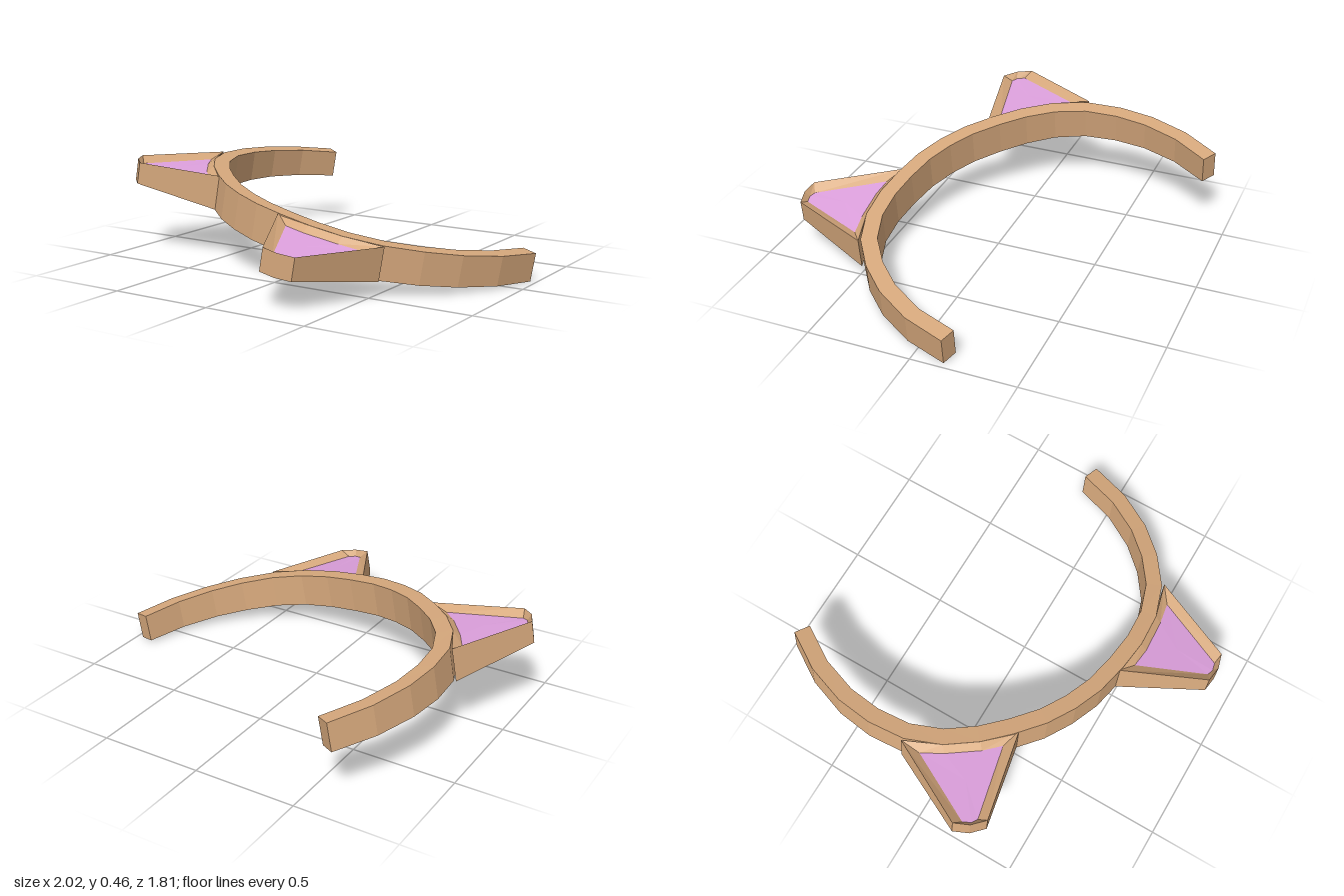
import * as THREE from 'three';

const tan = new THREE.MeshStandardMaterial({ color: 0xd6a87c, flatShading: true });
const pink = new THREE.MeshStandardMaterial({ color: 0xdda0dd, flatShading: true });

// The headband lies tilted: local x spans the arms, y is its width, z points to the crown
const tilt = new THREE.Matrix4().makeBasis(
  new THREE.Vector3(0.904, -0.144, 0.428),
  new THREE.Vector3(0.166, 0.986, -0.018),
  new THREE.Vector3(-0.428, 0.088, 0.904)
).multiply(new THREE.Matrix4().makeTranslation(-0.06, 0, 0));
tilt.premultiply(new THREE.Matrix4().makeTranslation(0, 0.2375, 0));

function finish(name, positions, material) {
  const geo = new THREE.BufferGeometry();
  geo.setAttribute('position', new THREE.Float32BufferAttribute(positions.flat(), 3));
  geo.applyMatrix4(tilt);
  geo.computeVertexNormals();
  const mesh = new THREE.Mesh(geo, material);
  mesh.name = name;
  return mesh;
}

// Walls between successive rings of equal length
function walls(rings) {
  const out = [];
  for (let r = 0; r + 1 < rings.length; r++) {
    const a = rings[r], b = rings[r + 1], n = a.length;
    for (let i = 0; i < n; i++) {
      const j = (i + 1) % n;
      out.push(a[i], a[j], b[j], a[i], b[j], b[i]);
    }
  }
  return out;
}

// Fan around the centre of a ring
function cap(ring, flip = false) {
  const c = [0, 1, 2].map(k => ring.reduce((sum, p) => sum + p[k], 0) / ring.length);
  return ring.flatMap((p, i) => {
    const q = ring[(i + 1) % ring.length];
    return flip ? [c, q, p] : [c, p, q];
  });
}

// Inner edge of half the band from crown to arm end: x, z, width
const half = [
  [0, 0.42, 0.175], [0.14, 0.41, 0.175], [0.29, 0.372, 0.173], [0.43, 0.323, 0.17],
  [0.565, 0.25, 0.165], [0.68, 0.142, 0.16], [0.76, 0, 0.155], [0.81, -0.153, 0.148],
  [0.83, -0.34, 0.142], [0.806, -0.545, 0.136]
];

function makeBand() {
  const thick = 0.078;
  const path = [...half.slice(1).reverse().map(([x, z, w]) => [-x, z, w]), ...half];
  const rings = path.map(([x, z, w], i) => {
    const p = path[Math.max(i - 1, 0)], q = path[Math.min(i + 1, path.length - 1)];
    const dx = q[0] - p[0], dz = q[1] - p[1], len = Math.hypot(dx, dz);
    const ox = x - dz / len * thick, oz = z + dx / len * thick, h = w / 2;
    return [[ox, -h, oz], [x, -h, z], [x, h, z], [ox, h, oz]];
  });
  return finish('band', [...walls(rings), ...cap(rings[0], true), ...cap(rings.at(-1))], tan);
}

// Ear outline: rim x, z, half height, then matching floor x, z
const earOutline = [
  [0.283, 0.448, 0.086, 0.377, 0.459], [0.46, 0.395, 0.084, 0.471, 0.425],
  [0.61, 0.313, 0.082, 0.62, 0.343], [0.755, 0.191, 0.08, 0.712, 0.278],
  [0.767, 0.639, 0.054, 0.722, 0.65], [0.707, 0.69, 0.054, 0.69, 0.675],
  [0.631, 0.715, 0.054, 0.658, 0.679]
];

function makeEar(side, name) {
  const depth = 0.03;
  const pts = side > 0 ? [...earOutline].reverse() : earOutline;
  const rim = s => pts.map(([x, z, h]) => [side * x, s * h, z]);
  const floor = s => pts.map(([, , h, x, z]) => [side * x, s * (h - depth), z]);
  const ear = new THREE.Group();
  ear.name = name;
  ear.add(
    // Frame with sloping inner walls above and below
    finish('earFrame', walls([floor(-1), rim(-1), rim(1), floor(1)]), tan),
    // Recessed panels
    finish('earPanel', [...cap(floor(1)), ...cap(floor(-1), true)], pink)
  );
  return ear;
}

export function createModel() {
  const model = new THREE.Group();
  model.name = 'earHeadband';
  model.add(makeBand(), makeEar(1, 'leftEar'), makeEar(-1, 'rightEar'));
  return model;
}
